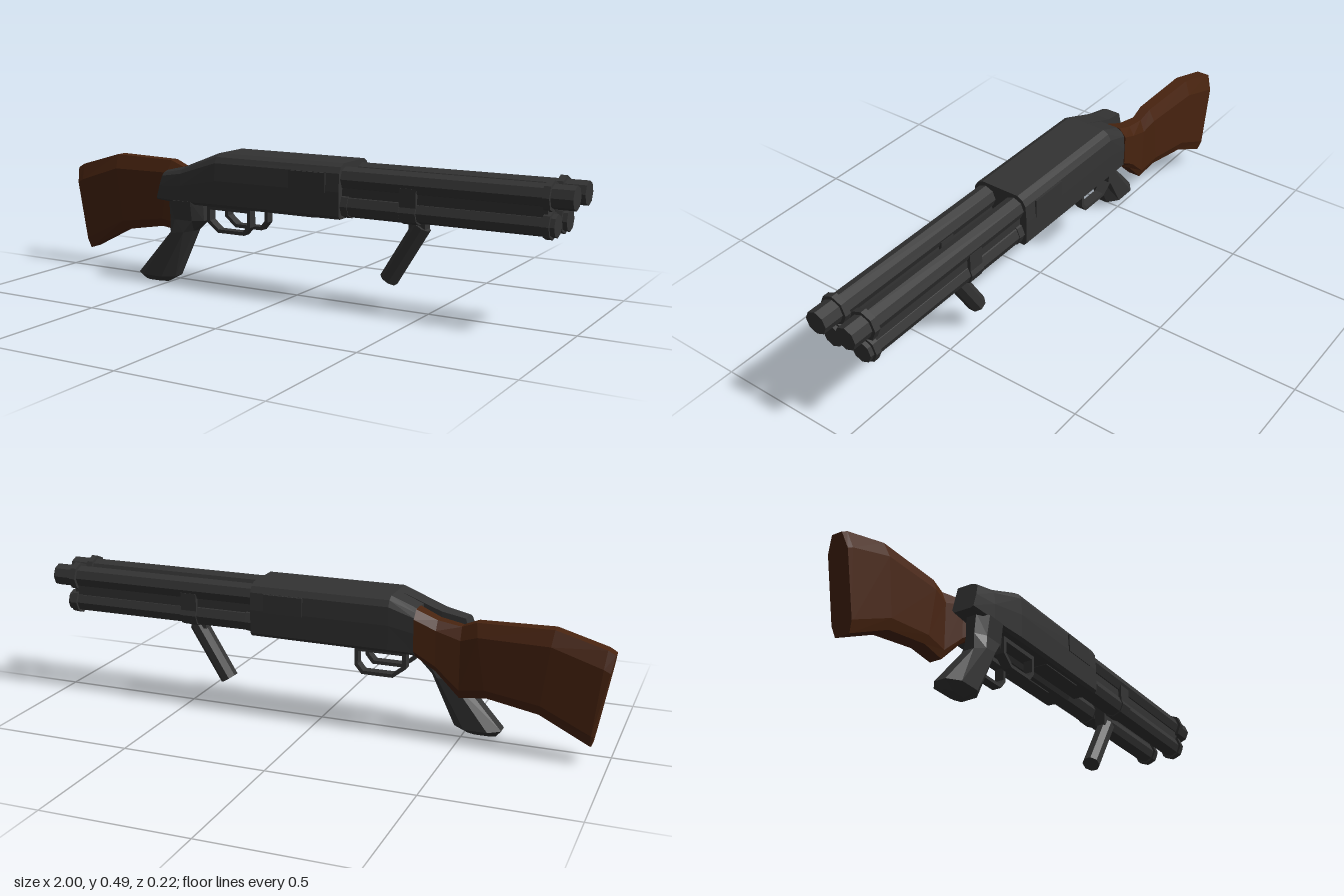
import * as THREE from 'three';

const metal = new THREE.MeshStandardMaterial({ color: 0x333333 });
metal.name = 'dark gunmetal';
const wood = new THREE.MeshStandardMaterial({ color: 0x47230f });
wood.name = 'walnut brown';

export function createModel() {
  const model = new THREE.Group();
  model.name = 'twinShotgun';

  const add = (name, geometry, material = metal, parent = model) => {
    const flat = geometry.index ? geometry.toNonIndexed() : geometry;
    flat.computeVertexNormals();
    const mesh = new THREE.Mesh(flat, material);
    mesh.name = name;
    parent.add(mesh);
    return mesh;
  };

  const box = (name, x0, x1, y0, y1, z0, z1, parent) => {
    const g = new THREE.BoxGeometry(x1 - x0, y1 - y0, z1 - z0);
    g.translate((x0 + x1) / 2, (y0 + y1) / 2, (z0 + z1) / 2);
    return add(name, g, metal, parent);
  };

  // Octagonal rod along x
  const rod = (name, x0, x1, y, z, r, parent) => {
    const g = new THREE.CylinderGeometry(r, r, x1 - x0, 8);
    g.rotateZ(-Math.PI / 2);
    g.translate((x0 + x1) / 2, y, z);
    return add(name, g, metal, parent);
  };

  // Joins cross-sections; each is [ax, ay, bx, by, z0, z1], spanned by a profile of [across, along]
  const loft = (profile, sections) => {
    const n = profile.length;
    const rings = sections.map(([ax, ay, bx, by, z0, z1]) => profile.map(([u, t]) =>
      new THREE.Vector3(ax + (bx - ax) * t, ay + (by - ay) * t, z0 + (z1 - z0) * u)));
    const tris = [];
    for (let i = 0; i < rings.length - 1; i++) {
      for (let j = 0; j < n; j++) {
        const k = (j + 1) % n, p = rings[i], q = rings[i + 1];
        tris.push([p[j], q[j], q[k]], [p[j], q[k], p[k]]);
      }
    }
    const last = rings[rings.length - 1];
    for (let j = 1; j < n - 1; j++) {
      tris.push([rings[0][0], rings[0][j], rings[0][j + 1]], [last[0], last[j + 1], last[j]]);
    }
    // Turn the faces outward whatever the direction of the sections
    const c = new THREE.Vector3();
    const volume = tris.reduce((s, [a, b, d]) => s + a.dot(c.crossVectors(b, d)), 0);
    const points = tris.flatMap(([a, b, d]) => (volume > 0 ? [a, b, d] : [a, d, b]));
    return new THREE.BufferGeometry().setFromPoints(points);
  };

  // Receiver profile runs from the flat inner wall to the chamfered outer wall
  const receiverProfile = [[0.12, 0], [0.9, 0], [0.99, 0.06], [1, 0.5], [0.96, 0.83],
    [0.85, 0.94], [0.66, 1], [0, 1], [0, 0.12]];
  const stockProfile = [[0.15, 0], [0.85, 0], [1, 0.12], [1, 0.82], [0.75, 1], [0.25, 1], [0, 0.82], [0, 0.12]];
  const gripProfile = [[0.3, 0], [0.7, 0], [1, 0.25], [1, 0.75], [0.7, 1], [0.3, 1], [0, 0.75], [0, 0.25]];

  // Trigger guard loop
  const guardShape = new THREE.Shape([[-0.325, 0.305], [-0.325, 0.24], [-0.28, 0.205], [-0.17, 0.205],
    [-0.145, 0.235], [-0.145, 0.305]].map(p => new THREE.Vector2(...p)));
  guardShape.holes.push(new THREE.Path([[-0.312, 0.285], [-0.157, 0.285], [-0.157, 0.24], [-0.176, 0.217],
    [-0.277, 0.217], [-0.312, 0.246]].map(p => new THREE.Vector2(...p))));

  for (const s of [1, -1]) {
    const gun = new THREE.Group();
    gun.name = s > 0 ? 'leftGun' : 'rightGun';
    model.add(gun);
    const z = s * 0.057;

    // Receiver
    const rear = s > 0
      ? [[-0.53, 0.305, -0.5, 0.41, 0.012, 0.095], [-0.42, 0.3, -0.42, 0.428, 0.004, 0.102]]
      : [[-0.36, 0.3, -0.36, 0.451, 0.003, 0.105]];
    const sections = [...rear, [-0.27, 0.3, -0.27, 0.487, 0, 0.107], [0.22, 0.303, 0.22, 0.487, 0, 0.107]]
      .map(([ax, ay, bx, by, z0, z1]) => [ax, ay, bx, by, s * z0, s * z1]);
    add('receiver', loft(receiverProfile, sections), metal, gun);
    const side = s * 0.106;
    box('ejectionPort', 0.03, 0.17, 0.39, 0.455, side - 0.004, side + 0.004, gun);
    box('loadingPort', -0.08, 0.12, 0.298, 0.304, z - 0.025, z + 0.025, gun);

    // Barrel over magazine tube, with sleeve, web and muzzle bands
    rod('barrel', 0.2, 1, 0.436, z, 0.039, gun);
    rod('magazineTube', 0.2, 0.945, 0.347, z, 0.037, gun);
    rod('sleeve', 0.24, 0.43, 0.347, z, 0.04, gun);
    rod('sleeveCollar', 0.215, 0.245, 0.347, z, 0.043, gun);
    box('web', 0.22, 0.92, 0.35, 0.43, z - 0.024, z + 0.024, gun);
    rod('barrelBand', 0.908, 0.93, 0.436, z, 0.05, gun);
    rod('tubeBand', 0.908, 0.93, 0.348, z, 0.046, gun);

    // Foregrip clamp around the tube
    rod('tubeClamp', 0.432, 0.49, 0.347, z, 0.043, gun);
    box('clampPlate', 0.432, 0.49, 0.33, 0.425, z - 0.036, z + 0.036, gun);

    const guard = new THREE.ExtrudeGeometry(guardShape, { depth: 0.034, bevelEnabled: false });
    guard.translate(0, 0, z - 0.017);
    add('triggerGuard', guard, metal, gun);
  }

  // Pistol grip on the left gun
  add('pistolGrip', loft(gripProfile, [
    [-0.487, 0.31, -0.34, 0.31, 0.012, 0.104],
    [-0.487, 0.24, -0.34, 0.24, 0.016, 0.094],
    [-0.487, 0.187, -0.385, 0.2, 0.002, 0.1],
    [-0.63, 0.025, -0.468, 0.025, 0, 0.104],
    [-0.61, 0, -0.51, 0, 0.035, 0.07],
  ]));

  // Wooden shoulder stock on the right gun
  add('stock', loft(stockProfile, [
    [-0.945, 0.062, -1, 0.37, -0.094, -0.02],
    [-0.94, 0.065, -0.975, 0.385, -0.1, -0.02],
    [-0.775, 0.15, -0.81, 0.433, -0.104, -0.02],
    [-0.6, 0.18, -0.56, 0.428, -0.097, -0.022],
    [-0.51, 0.167, -0.51, 0.408, -0.09, -0.026],
    [-0.43, 0.25, -0.43, 0.422, -0.097, -0.016],
    [-0.358, 0.298, -0.358, 0.452, -0.107, -0.003],
  ]), wood);

  // Slanted foregrip under the clamp
  box('foregripMount', 0.432, 0.49, 0.28, 0.375, -0.02, 0.02);
  const top = new THREE.Vector3(0.473, 0.293, 0.002);
  const axis = top.clone().sub(new THREE.Vector3(0.355, 0.1, 0.002));
  const grip = new THREE.CylinderGeometry(0.032, 0.032, axis.length(), 8);
  grip.rotateY(Math.PI / 8);
  grip.translate(0, -axis.length() / 2, 0);
  grip.applyQuaternion(new THREE.Quaternion().setFromUnitVectors(new THREE.Vector3(0, 1, 0), axis.clone().normalize()));
  grip.translate(top.x, top.y, top.z);
  add('foregrip', grip);

  return model;
}
